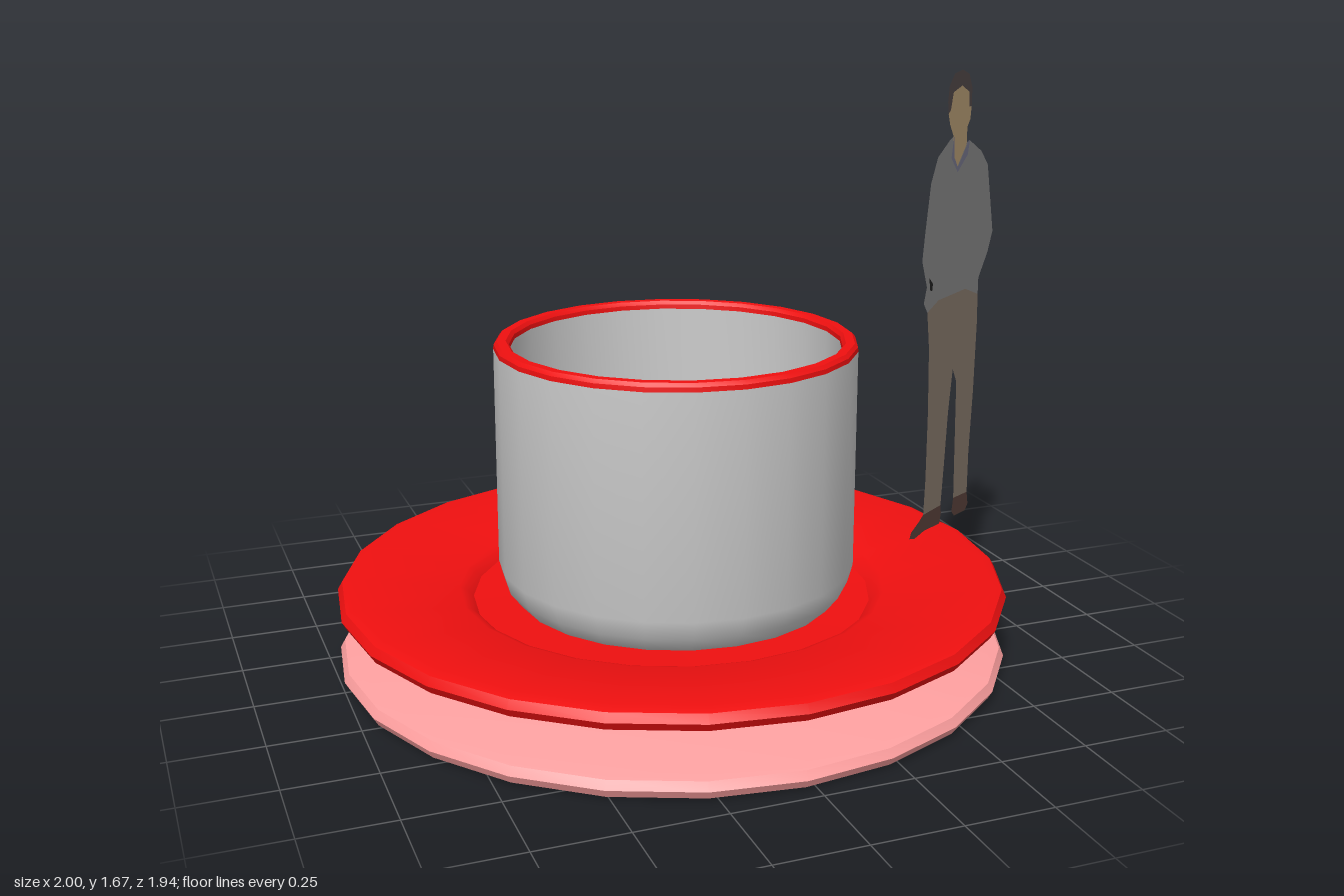
import * as THREE from 'three';
import { toCreasedNormals } from 'three/addons/utils/BufferGeometryUtils.js';

const SIDES = 24;

const material = (color, side = THREE.FrontSide) =>
  new THREE.MeshStandardMaterial({ color, side });

const grey = material(0xcccccc);
const red = material(0xf01010);
const pink = material(0xffa0a0);

const vectors = (points) => points.map(([x, y]) => new THREE.Vector2(x, y));

function add(parent, name, geometry, mat) {
  const mesh = new THREE.Mesh(geometry, mat);
  mesh.name = name;
  parent.add(mesh);
  return mesh;
}

// Round part turned from a profile of [radius, height] points
function turned(profile) {
  return toCreasedNormals(new THREE.LatheGeometry(vectors(profile), SIDES), 0.6);
}

function createSaucers() {
  const group = new THREE.Group();
  group.name = 'saucers';
  const profile = [
    [0, 0.125], [0.52, 0.125], [0.93, 0.18], [0.957, 0.187], [0.97, 0.21],
    [0.957, 0.233], [0.93, 0.24], [0.62, 0.203], [0.6, 0.195], [0.58, 0.175],
    [0.38, 0.168], [0.36, 0.15], [0, 0.15],
  ];
  add(group, 'saucer', turned(profile), red);
  // The lower saucer is the same shape upside down
  const flipped = profile.map(([r, y]) => [r, 0.24 - y]).reverse();
  add(group, 'lowerSaucer', turned(flipped), pink);
  group.position.x = -0.03;
  return group;
}

function createCup() {
  const group = new THREE.Group();
  group.name = 'cup';

  // Walls, lip and floor
  add(group, 'outerWall', turned([
    [0, 0.175], [0.42, 0.175], [0.465, 0.19], [0.5, 0.235], [0.515, 0.29], [0.515, 0.92],
  ]), grey);
  add(group, 'lip', turned([
    [0.515, 0.92], [0.514, 0.933], [0.505, 0.943], [0.48, 0.943], [0.471, 0.933], [0.47, 0.92],
  ]), red);
  add(group, 'innerWall', turned([[0.47, 0.92], [0.47, 0.31]]), grey);
  add(group, 'floor', turned([
    [0.47, 0.31], [0.455, 0.27], [0.41, 0.24], [0, 0.235],
  ]), red);

  // Handle: a half ring with short straight ends, widened sideways
  const radius = 0.235, midY = 0.62, midZ = -0.55;
  const path = [new THREE.Vector3(0, midY + radius, -0.49)];
  for (let i = 0; i <= 12; i++) {
    const a = (i / 12) * Math.PI;
    path.push(new THREE.Vector3(0, midY + radius * Math.cos(a), midZ - radius * Math.sin(a)));
  }
  path.push(new THREE.Vector3(0, midY - radius, -0.49));
  const tube = new THREE.TubeGeometry(new THREE.CatmullRomCurve3(path), 32, 0.045, 14);
  tube.scale(2, 1, 1);
  add(group, 'handle', tube, grey);

  group.position.set(-0.025, 0, 0.025);
  return group;
}

// Flat standing figure, turned to face the front left corner of the model
function createFigure() {
  const group = new THREE.Group();
  group.name = 'standingFigure';
  const turn = 0.585, midX = 0.81;

  function patch(name, color, points, offset = 0) {
    const outline = points.map(([x, y]) => [(x - midX) / Math.cos(turn), y]);
    const geometry = new THREE.ShapeGeometry(new THREE.Shape(vectors(outline)));
    const mesh = add(group, name, geometry, material(color, THREE.DoubleSide));
    mesh.position.z = offset;
  }

  patch('hair', 0x4a4242, [
    [0.73, 1.59], [0.735, 1.635], [0.76, 1.667], [0.8, 1.675], [0.835, 1.66], [0.853, 1.62],
    [0.853, 1.567], [0.842, 1.567], [0.837, 1.61], [0.8, 1.63], [0.757, 1.615],
    [0.746, 1.567], [0.735, 1.556],
  ]);
  patch('headAndNeck', 0xa88f6b, [
    [0.735, 1.556], [0.746, 1.567], [0.757, 1.615], [0.8, 1.63], [0.837, 1.61],
    [0.842, 1.567], [0.853, 1.567], [0.849, 1.53], [0.835, 1.51], [0.835, 1.46],
    [0.79, 1.4], [0.77, 1.43], [0.765, 1.49], [0.745, 1.525],
  ]);
  patch('sweater', 0x7c7c7c, [
    [0.765, 1.49], [0.745, 1.48], [0.69, 1.44], [0.66, 1.37], [0.64, 1.235], [0.63, 1.155],
    [0.658, 1.075], [0.645, 1.03], [0.665, 1.0], [0.72, 1.025], [0.86, 1.03], [0.93, 1.0],
    [0.93, 1.05], [0.975, 1.12], [0.998, 1.18], [0.975, 1.29], [0.955, 1.385],
    [0.917, 1.43], [0.85, 1.47], [0.835, 1.46], [0.79, 1.4], [0.77, 1.43],
  ]);
  patch('trousers', 0x7d7064, [
    [0.665, 1.0], [0.68, 0.89], [0.687, 0.7], [0.687, 0.49], [0.682, 0.385], [0.773, 0.385],
    [0.783, 0.51], [0.794, 0.67], [0.81, 0.797], [0.832, 0.754], [0.837, 0.567],
    [0.842, 0.385], [0.917, 0.38], [0.917, 0.51], [0.928, 0.7], [0.933, 0.914],
    [0.93, 1.0], [0.86, 1.03], [0.72, 1.025],
  ]);
  patch('rightShoe', 0x523c36, [
    [0.682, 0.385], [0.66, 0.37], [0.622, 0.35], [0.615, 0.333], [0.64, 0.325],
    [0.69, 0.333], [0.77, 0.328], [0.777, 0.36], [0.773, 0.385],
  ]);
  patch('leftShoe', 0x523c36, [
    [0.842, 0.385], [0.835, 0.345], [0.85, 0.325], [0.91, 0.322], [0.925, 0.34], [0.917, 0.38],
  ]);
  // Small details lie just off both faces
  for (const offset of [-0.002, 0.002]) {
    patch('collar', 0x6c6c80, [
      [0.765, 1.49], [0.77, 1.43], [0.79, 1.4], [0.835, 1.46], [0.848, 1.47],
      [0.84, 1.43], [0.79, 1.385], [0.755, 1.43],
    ], offset);
    patch('cuff', 0x1c1c1c, [[0.667, 1.1], [0.685, 1.08], [0.682, 1.06], [0.67, 1.065]], offset);
  }

  group.position.set(midX, 0, 0.13);
  group.rotation.y = turn;
  return group;
}

export function createModel() {
  const model = new THREE.Group();
  model.name = 'cupAndSaucer';
  model.add(createSaucers(), createCup(), createFigure());
  return model;
}
